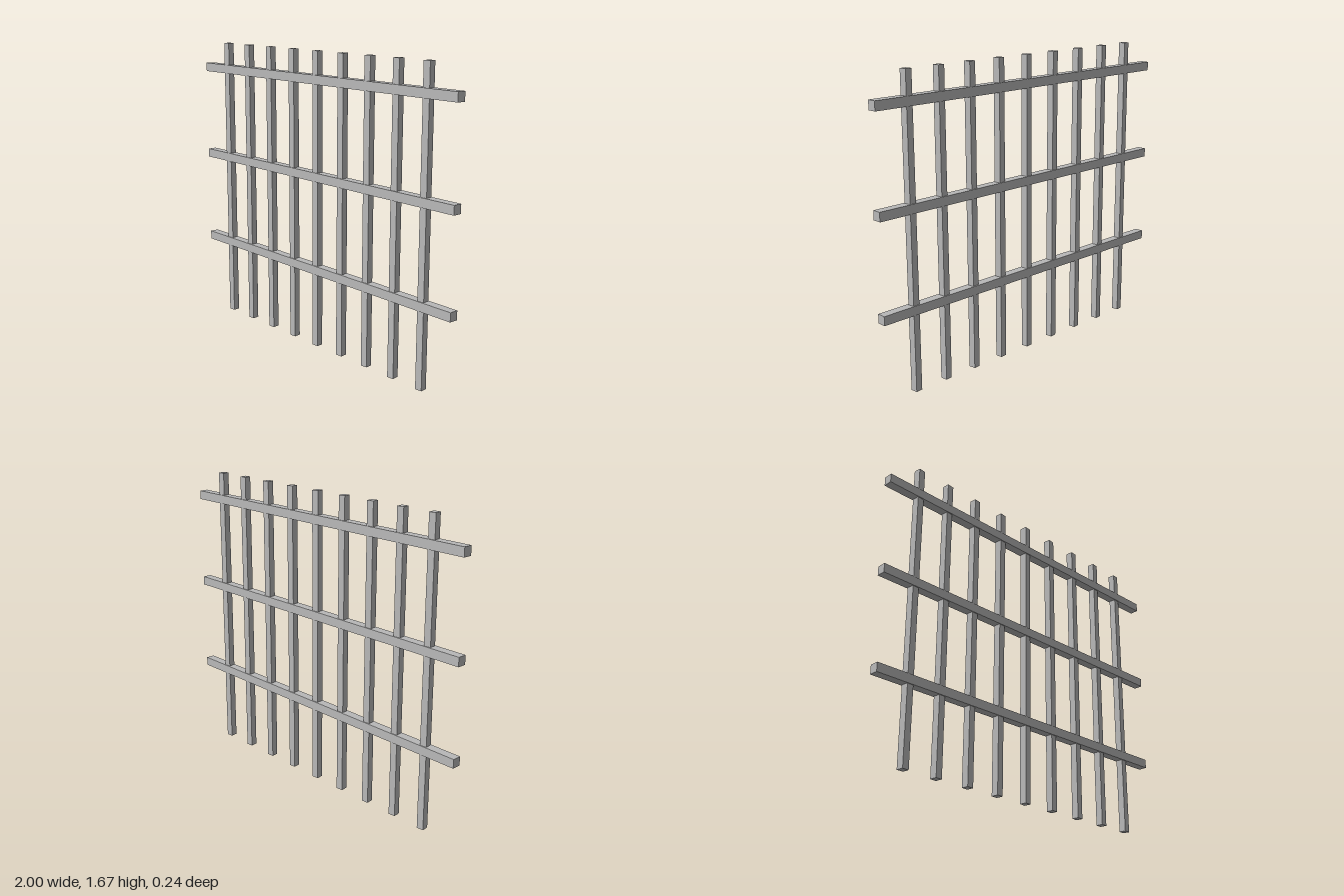
import * as THREE from 'three';

const ANGLE = 0.097;      // how far the fence line is turned about y
const HEIGHT = 1.67;

export function createModel() {
  const model = new THREE.Group();
  model.name = 'barFence';

  const grey = new THREE.MeshStandardMaterial({ color: 0xb8b8b8 });
  grey.name = 'grey';

  // Horizontal rails, turned along the fence line
  const railGeometry = new THREE.BoxGeometry(2.005, 0.05, 0.05);
  [0.45, 0.983, 1.516].forEach((y, i) => {
    const rail = new THREE.Mesh(railGeometry, grey);
    rail.name = `rail${i + 1}`;
    rail.position.y = y;
    rail.rotation.y = -ANGLE;
    model.add(rail);
  });

  // Upright square bars, set square to the axes and stepped along the line
  const barGeometry = new THREE.BoxGeometry(0.039, HEIGHT, 0.039);
  for (let i = -4; i <= 4; i++) {
    const bar = new THREE.Mesh(barGeometry, grey);
    const x = i * 0.199;
    bar.name = `bar${i + 5}`;
    bar.position.set(x, HEIGHT / 2, x * Math.tan(ANGLE));
    model.add(bar);
  }

  return model;
}
